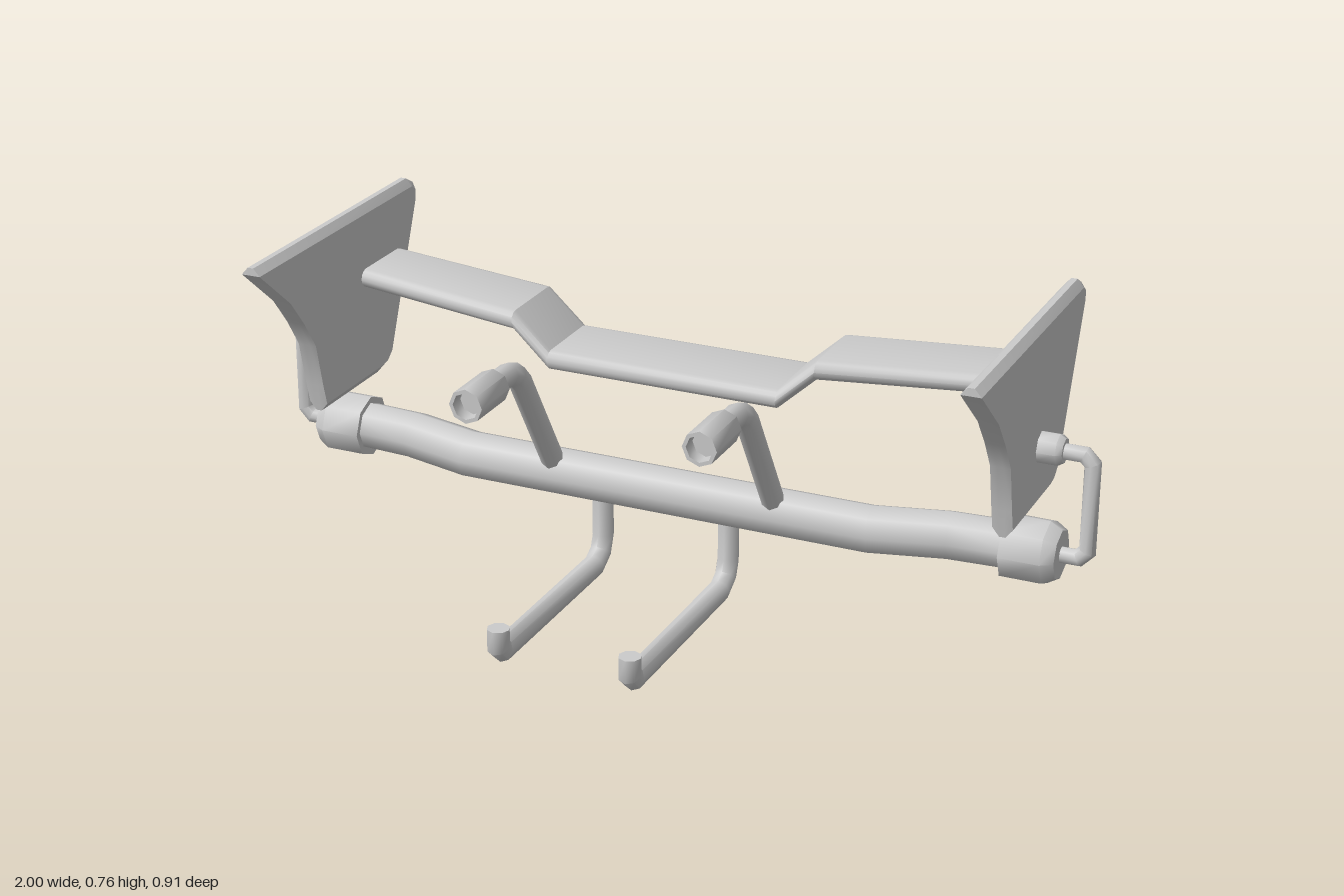
import * as THREE from 'three';
import { toCreasedNormals } from 'three/addons/utils/BufferGeometryUtils.js';

const SIDES = 8;
const CREASE = 0.9;

// Skin closed rings (counterclockwise about the direction of travel) and cap
// both ends; outline is the matching 2D loop used to triangulate the caps.
function loft(rings, outline, crease = CREASE) {
  const n = outline.length;
  const positions = rings.flat().flatMap((p) => [p.x, p.y, p.z]);
  const index = [];
  for (let i = 0; i < rings.length - 1; i++) {
    for (let j = 0; j < n; j++) {
      const a = i * n + j, b = i * n + (j + 1) % n;
      index.push(a, b, b + n, a, b + n, a + n);
    }
  }
  const last = (rings.length - 1) * n;
  for (const [a, b, c] of THREE.ShapeUtils.triangulateShape(outline, [])) {
    index.push(c, b, a, last + a, last + b, last + c);
  }
  const geometry = new THREE.BufferGeometry();
  geometry.setAttribute('position', new THREE.Float32BufferAttribute(positions, 3));
  geometry.setIndex(index);
  return toCreasedNormals(geometry, crease);
}

// Round pipe with mitred joints along a planar path
function pipe(points, radius) {
  const path = points.map((p) => new THREE.Vector3(...p));
  const dirs = path.slice(1).map((p, i) => p.clone().sub(path[i]).normalize());
  const across = dirs[0].clone().cross(dirs[1]).normalize();
  const outline = Array.from({ length: SIDES }, (_, j) => {
    const a = (j / SIDES) * Math.PI * 2;
    return new THREE.Vector2(Math.cos(a), Math.sin(a));
  });
  const rings = path.map((p, i) => {
    const before = dirs[Math.max(i - 1, 0)], after = dirs[Math.min(i, dirs.length - 1)];
    const along = before.clone().add(after).normalize();
    const normal = along.clone().cross(across).divideScalar(along.dot(after));
    return outline.map((o) => p.clone()
      .addScaledVector(across, o.x * radius)
      .addScaledVector(normal, o.y * radius));
  });
  return loft(rings, outline);
}

// Turned part from [radius, height] pairs
function turned(profile) {
  const points = profile.map(([r, h]) => new THREE.Vector2(r, h));
  return toCreasedNormals(new THREE.LatheGeometry(points, SIDES), CREASE);
}

// End plate with a bevelled top, back and bottom and a plain curved front
function endPlate() {
  const front = [[0.03, 0.39], [0.055, 0.5], [0.1, 0.57], [0.155, 0.64], [0.278, 0.745]];
  const face = [[-0.42, 0.745], [-0.437, 0.733], [-0.437, 0.71], [-0.297, 0.365],
    [-0.275, 0.347], [-0.25, 0.342], [0.017, 0.342], ...front, [0.277, 0.7455]];
  const rim = [[-0.42, 0.763], [-0.452, 0.745], [-0.455, 0.71], [-0.31, 0.36],
    [-0.283, 0.334], [-0.25, 0.322], [0.017, 0.322], ...front, [0.278, 0.763]];
  const outline = face.map(([z, y]) => new THREE.Vector2(y, z));
  const flip = THREE.ShapeUtils.isClockWise(outline);
  if (flip) outline.reverse();
  const ring = (loop, x) => {
    const r = loop.map(([z, y]) => new THREE.Vector3(x, y, z));
    return flip ? r.reverse() : r;
  };
  return loft([ring(face, -0.023), ring(rim, -0.007), ring(rim, 0.007), ring(face, 0.023)],
    outline, 0.4);
}

// Round-edged blade swept across the model: swept-back tips, dropped centre
function wingBlade() {
  const half = [[0.28, 0.508, -0.062, -0.275], [0.37, 0.59, -0.065, -0.275], [0.845, 0.59, -0.17, -0.367]];
  const stations = [...half.map(([x, ...s]) => [-x, ...s]).reverse(), ...half];
  const r = 0.022, steps = 6;
  const section = (y, front, back) => {
    const loop = [];
    for (let k = 0; k <= 2 * steps + 1; k++) {
      const rear = k > steps;
      const a = ((k - (rear ? 1 : 0)) / steps) * Math.PI;
      loop.push(new THREE.Vector2(y + r * Math.cos(a), (rear ? back + r : front - r) + r * Math.sin(a)));
    }
    return loop;
  };
  const rings = stations.map(([x, y, f, b]) => section(y, f, b).map((p) => new THREE.Vector3(x, p.x, p.y)));
  return loft(rings, section(...stations[0].slice(1)), 0.6);
}

export function createModel() {
  const model = new THREE.Group();
  model.name = 'wingAssembly';
  const grey = new THREE.MeshStandardMaterial({ color: 0xcccccc });
  grey.name = 'light grey';
  const add = (name, geometry, x = 0, y = 0, z = 0) => {
    const mesh = new THREE.Mesh(geometry, grey);
    mesh.name = name;
    mesh.position.set(x, y, z);
    model.add(mesh);
  };

  // Cross bar with swept-back ends, and the blade above it
  const barY = 0.225, endZ = -0.157;
  add('crossBar', pipe([[-0.85, barY, endZ], [-0.67, barY, -0.145], [-0.5, barY, -0.102],
    [0.5, barY, -0.102], [0.67, barY, -0.145], [0.85, barY, endZ]], 0.057));
  add('wingBlade', wingBlade());

  for (const [side, label] of [[1, 'left'], [-1, 'right']]) {
    const sideways = (profile) => turned(profile).rotateZ(-side * Math.PI / 2);

    // Bar end cap, plate, plate nut and the outer loop joining them
    add(label + 'EndCap', sideways([[0, 0.8], [0.075, 0.8], [0.075, 0.895], [0.058, 0.923], [0, 0.923]]),
      0, 0.222, endZ);
    add(label + 'EndPlate', endPlate(), side * 0.84);
    add(label + 'PlateNut', sideways([[0, 0.85], [0.037, 0.85], [0.037, 0.905], [0.028, 0.918], [0, 0.918]]),
      0, 0.468, endZ);
    add(label + 'OuterLoop', pipe([[0.91, 0.222], [0.962, 0.222], [0.981, 0.242], [0.981, 0.448],
      [0.962, 0.467], [0.9, 0.467]].map(([x, y]) => [side * x, y, endZ]), 0.019));

    // Upper arm carrying a hollow forward socket
    const armX = side * 0.275;
    add(label + 'UpperArm', pipe([[-0.09, 0.24], [0.08, 0.515], [0.105, 0.54], [0.14, 0.553], [0.21, 0.553]]
      .map(([z, y]) => [armX, y, z]), 0.027));
    add(label + 'Socket', turned([[0, 0.2], [0.034, 0.2], [0.04, 0.208], [0.04, 0.34],
      [0.031, 0.34], [0.031, 0.305], [0, 0.305]]).rotateX(Math.PI / 2), armX, 0.552, 0);

    // Lower arm ending in an upturned hook
    add(label + 'LowerHook', pipe([[-0.1, 0.21], [-0.1, 0.085], [-0.086, 0.048], [-0.05, 0.026],
      [0.416, 0.026], [0.433, 0.042], [0.433, 0.086]].map(([z, y]) => [side * 0.158, y, z]), 0.026));
  }
  return model;
}
